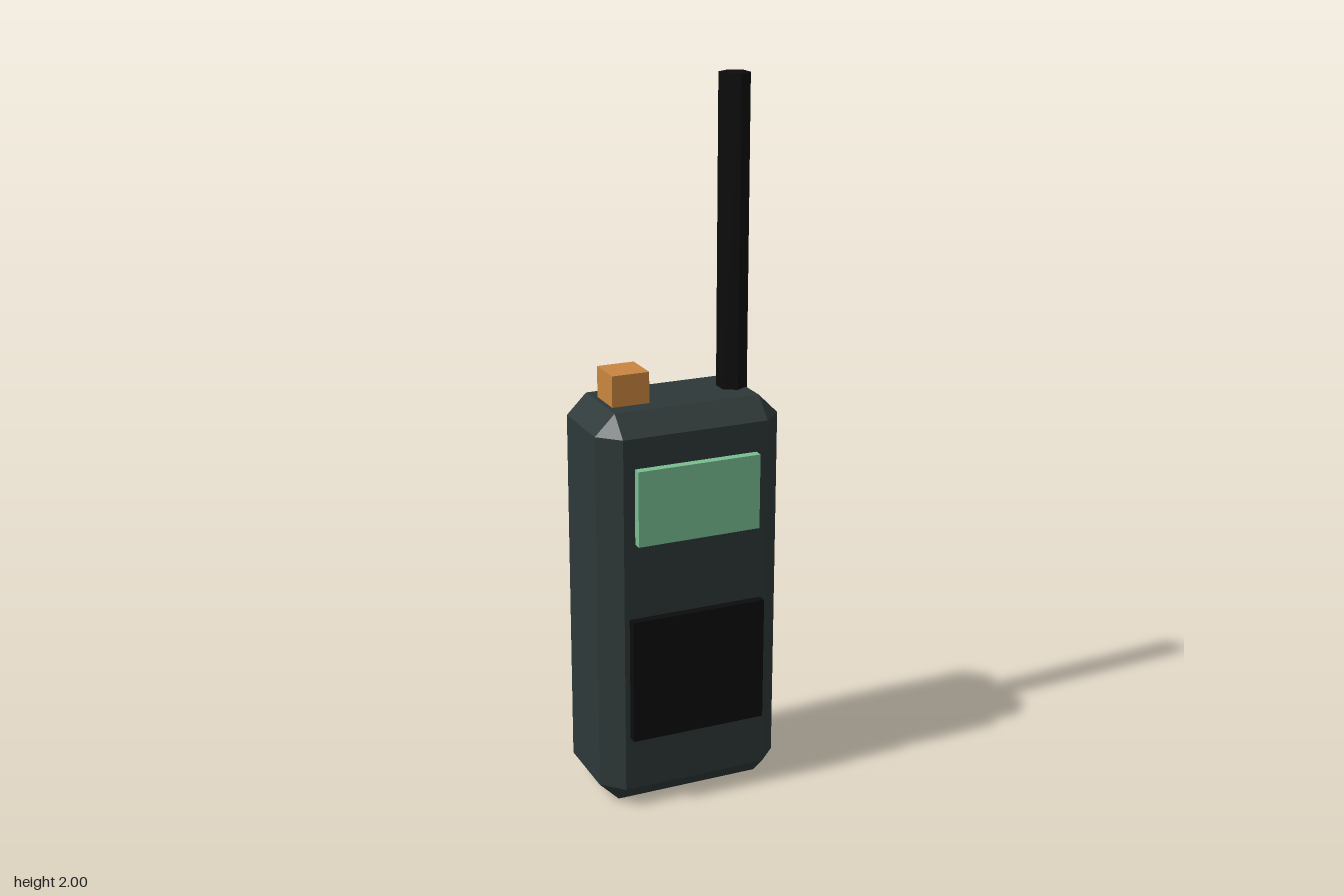
import * as THREE from 'three';
import { ConvexGeometry } from 'three/addons/geometries/ConvexGeometry.js';

const mat = (name, color) => {
  const m = new THREE.MeshStandardMaterial({ color, flatShading: true });
  m.name = name;
  return m;
};

// Box with every edge cut at 45 degrees and triangular corners
function chamferedBox(w, h, d, c) {
  const points = [];
  for (const x of [-1, 1]) for (const y of [-1, 1]) for (const z of [-1, 1]) {
    const X = w / 2, Y = h / 2, Z = d / 2;
    points.push(
      new THREE.Vector3(x * X, y * (Y - c), z * (Z - c)),
      new THREE.Vector3(x * (X - c), y * Y, z * (Z - c)),
      new THREE.Vector3(x * (X - c), y * (Y - c), z * Z),
    );
  }
  return new ConvexGeometry(points);
}

export function createModel() {
  const group = new THREE.Group();
  group.name = 'handheldRadio';
  const casing = mat('dark slate casing', 0x2e3838);
  const black = mat('black rubber', 0x0c0c0c);
  const green = mat('green screen', 0x78be92);
  const orange = mat('orange knob', 0xc98640);

  const add = (name, geometry, material, x, y, z) => {
    const mesh = new THREE.Mesh(geometry, material);
    mesh.name = name;
    mesh.position.set(x, y, z);
    group.add(mesh);
  };

  const zMid = -0.0135, top = 1.143;

  // Casing
  add('body', chamferedBox(0.536, top, 0.321, 0.057), casing, 0, top / 2, zMid);

  // Six-sided antenna
  const sunk = 0.02;
  const antennaHeight = 2 - top + sunk;
  add('antenna', new THREE.CylinderGeometry(0.0425, 0.0425, antennaHeight, 6), black,
    0.178, 2 - antennaHeight / 2, zMid);

  // Square knob on top
  add('knob', new THREE.BoxGeometry(0.107, 0.107, 0.107), orange, -0.144, 1.1765, zMid);

  // Raised panels on the front
  add('screen', new THREE.BoxGeometry(0.357, 0.213, 0.035), green, 0, 0.895, 0.1545);
  add('keypad', new THREE.BoxGeometry(0.393, 0.357, 0.035), black, 0, 0.3935, 0.1545);

  return group;
}
